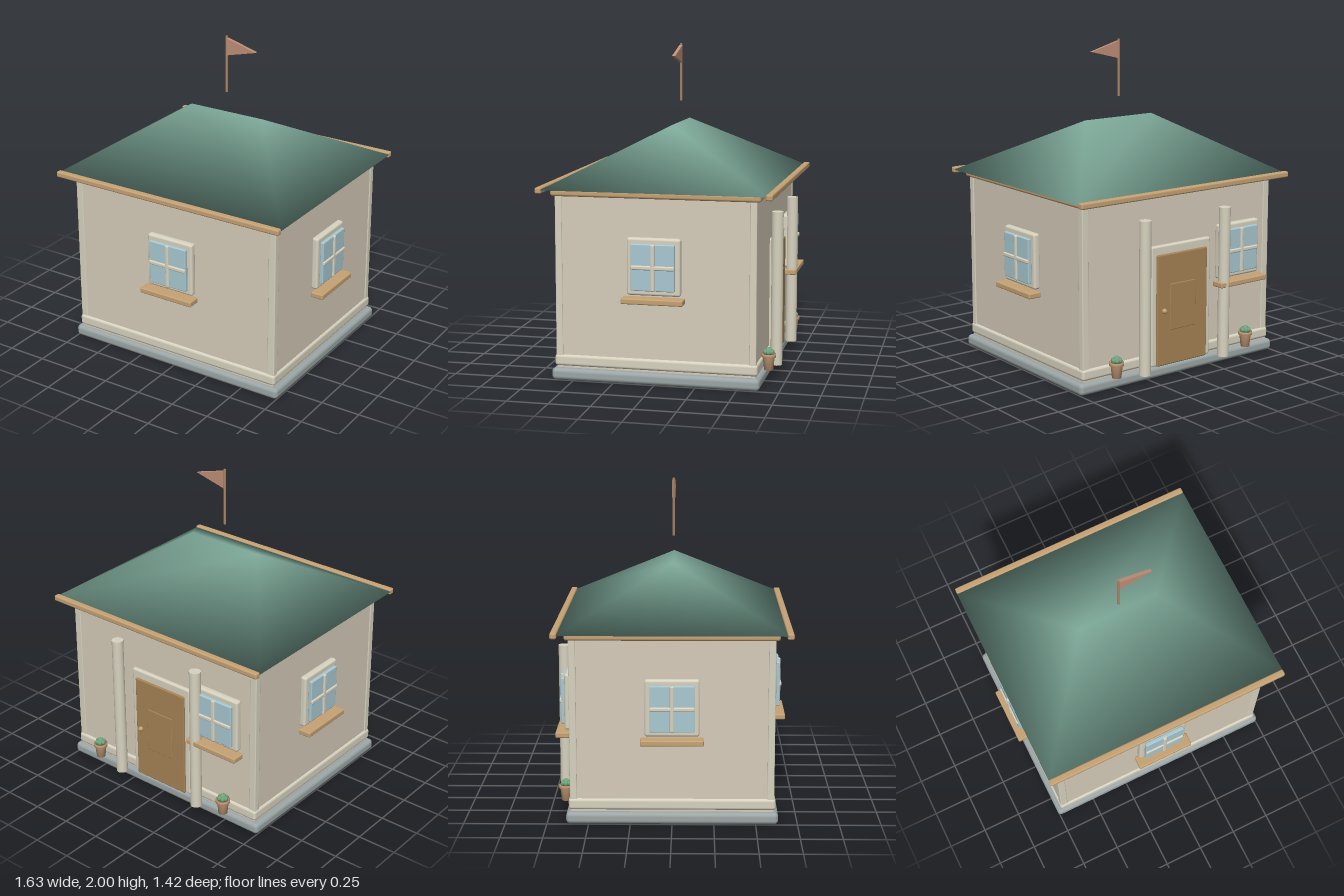
import * as THREE from 'three';
import { RoundedBoxGeometry } from 'three/addons/geometries/RoundedBoxGeometry.js';

const mat = (color, side = THREE.FrontSide) => new THREE.MeshStandardMaterial({ color, side });
const M = {
  wall: mat(0xd6ccba), trim: mat(0xd8d3c0), stone: mat(0x9ca6a6), roof: mat(0x7fab9b, THREE.DoubleSide),
  wood: mat(0xc6a274), door: mat(0xa68355), glass: mat(0xa9c9d2), flag: mat(0xc08f78),
  pole: mat(0xa98462), pot: mat(0xc39b76), plant: mat(0x6fa57c), soil: mat(0x6b5440),
};

function add(parent, name, geometry, material, x = 0, y = 0, z = 0) {
  const mesh = new THREE.Mesh(geometry, material);
  mesh.name = name;
  mesh.position.set(x, y, z);
  parent.add(mesh);
  return mesh;
}
const rbox = (w, h, d, r = 0.01) => new RoundedBoxGeometry(w, h, d, 3, r);

// Hip roof: four eave corners and two ridge ends sharing smooth normals
function roofGeometry() {
  const x = 0.8, z = 0.68, e = 1.16, r = 0.26, top = 1.51;
  const g = new THREE.BufferGeometry();
  g.setAttribute('position', new THREE.Float32BufferAttribute([
    -x, e, z, x, e, z, x, e, -z, -x, e, -z, -r, top, 0, r, top, 0], 3));
  g.setIndex([
    0, 1, 4, 1, 5, 4,   // front slope
    2, 3, 4, 2, 4, 5,   // back slope
    1, 2, 5, 3, 0, 4,   // hips
    0, 3, 1, 1, 3, 2]); // underside
  g.computeVertexNormals();
  return g;
}

// Window facing +z, with its wall plane at z = 0
function makeWindow(name) {
  const w = new THREE.Group();
  w.name = name;
  add(w, 'windowFrame', rbox(0.325, 0.345, 0.045, 0.015), M.trim, 0, 0.717, 0.014);
  add(w, 'windowGlass', rbox(0.265, 0.28, 0.025, 0.006), M.glass, 0, 0.717, 0.048);
  add(w, 'verticalBar', rbox(0.026, 0.28, 0.026, 0.008), M.trim, 0, 0.717, 0.057);
  add(w, 'horizontalBar', rbox(0.265, 0.026, 0.026, 0.008), M.trim, 0, 0.717, 0.057);
  add(w, 'windowSill', rbox(0.375, 0.035, 0.085, 0.008), M.wood, 0, 0.518, 0.05);
  return w;
}

function makePot() {
  const p = new THREE.Group();
  p.name = 'flowerPot';
  const profile = [[0, 0.075], [0.028, 0.075], [0.036, 0.15], [0.044, 0.152], [0.044, 0.172], [0.034, 0.172], [0.032, 0.16]]
    .map(([r, y]) => new THREE.Vector2(r, y));
  add(p, 'pot', new THREE.LatheGeometry(profile, 20), M.pot);
  add(p, 'soil', new THREE.CylinderGeometry(0.034, 0.034, 0.006, 20), M.soil, 0, 0.162, 0);
  add(p, 'plantCentre', new THREE.SphereGeometry(0.022, 12, 8), M.plant, 0, 0.189, 0);
  for (let i = 0; i < 6; i++) {
    const a = i * Math.PI / 3;
    const leaf = add(p, 'leaf', new THREE.SphereGeometry(0.015, 10, 6), M.plant,
      Math.cos(a) * 0.021, 0.182, Math.sin(a) * 0.021);
    leaf.scale.y = 1.1;
  }
  return p;
}

export function createModel() {
  const house = new THREE.Group();
  house.name = 'house';

  // Body
  add(house, 'foundation', rbox(1.515, 0.072, 1.27, 0.025), M.stone, 0, 0.036, 0);
  add(house, 'walls', new THREE.BoxGeometry(1.44, 1.07, 1.215), M.wall, 0, 0.605, 0);
  add(house, 'baseboard', rbox(1.465, 0.07, 1.24, 0.018), M.trim, 0, 0.118, 0);
  for (const sx of [-1, 1]) for (const sz of [-1, 1])
    add(house, 'cornerPost', rbox(0.048, 1.0, 0.042, 0.006), M.trim, sx * 0.702, 0.63, sz * 0.59);

  // Roof and eaves
  add(house, 'eaveBand', rbox(1.49, 0.042, 1.27, 0.015), M.wood, 0, 1.14, 0);
  add(house, 'roof', roofGeometry(), M.roof);
  for (const s of [-1, 1])
    add(house, 'eaveBeam', rbox(1.6, 0.037, 0.04, 0.01), M.wood, 0, 1.157, s * 0.692);

  // Windows
  const places = [
    ['frontWindow', 0, 0.61, 0], ['leftWindow', 0.722, 0, Math.PI / 2],
    ['rightWindow', -0.722, 0, -Math.PI / 2], ['backWindow', -0.45, -0.61, Math.PI]];
  for (const [name, x, z, turn] of places) {
    const w = makeWindow(name);
    w.position.set(x, 0, z);
    w.rotation.y = turn;
    house.add(w);
  }

  // Door on the back wall
  const door = new THREE.Group();
  door.name = 'doorway';
  house.add(door);
  add(door, 'doorFrame', rbox(0.46, 0.75, 0.04, 0.012), M.trim, 0, 0.447, -0.61);
  add(door, 'door', rbox(0.39, 0.695, 0.03, 0.008), M.door, 0, 0.42, -0.628);
  add(door, 'doorPanel', rbox(0.2, 0.29, 0.012, 0.005), M.door, 0, 0.435, -0.642);
  add(door, 'doorKnob', new THREE.SphereGeometry(0.016, 14, 10), M.wood, 0.15, 0.42, -0.655);

  // Pillars and pots beside the door
  for (const s of [-1, 1]) {
    add(house, 'pillar', new THREE.CylinderGeometry(0.036, 0.036, 0.95, 24), M.trim, s * 0.31, 0.53, -0.668);
    const pot = makePot();
    pot.position.set(s * 0.51, 0, -0.652);
    house.add(pot);
  }

  // Flag
  add(house, 'flagPole', new THREE.CylinderGeometry(0.008, 0.008, 0.36, 12), M.pole, 0, 1.82, 0);
  const pennant = new THREE.Shape([[0.004, 1.988], [0.004, 1.878], [0.212, 1.93]].map(([x, y]) => new THREE.Vector2(x, y)));
  add(house, 'flag', new THREE.ExtrudeGeometry(pennant, { depth: 0.02, bevelEnabled: false }), M.flag, 0, 0, -0.01);

  return house;
}
